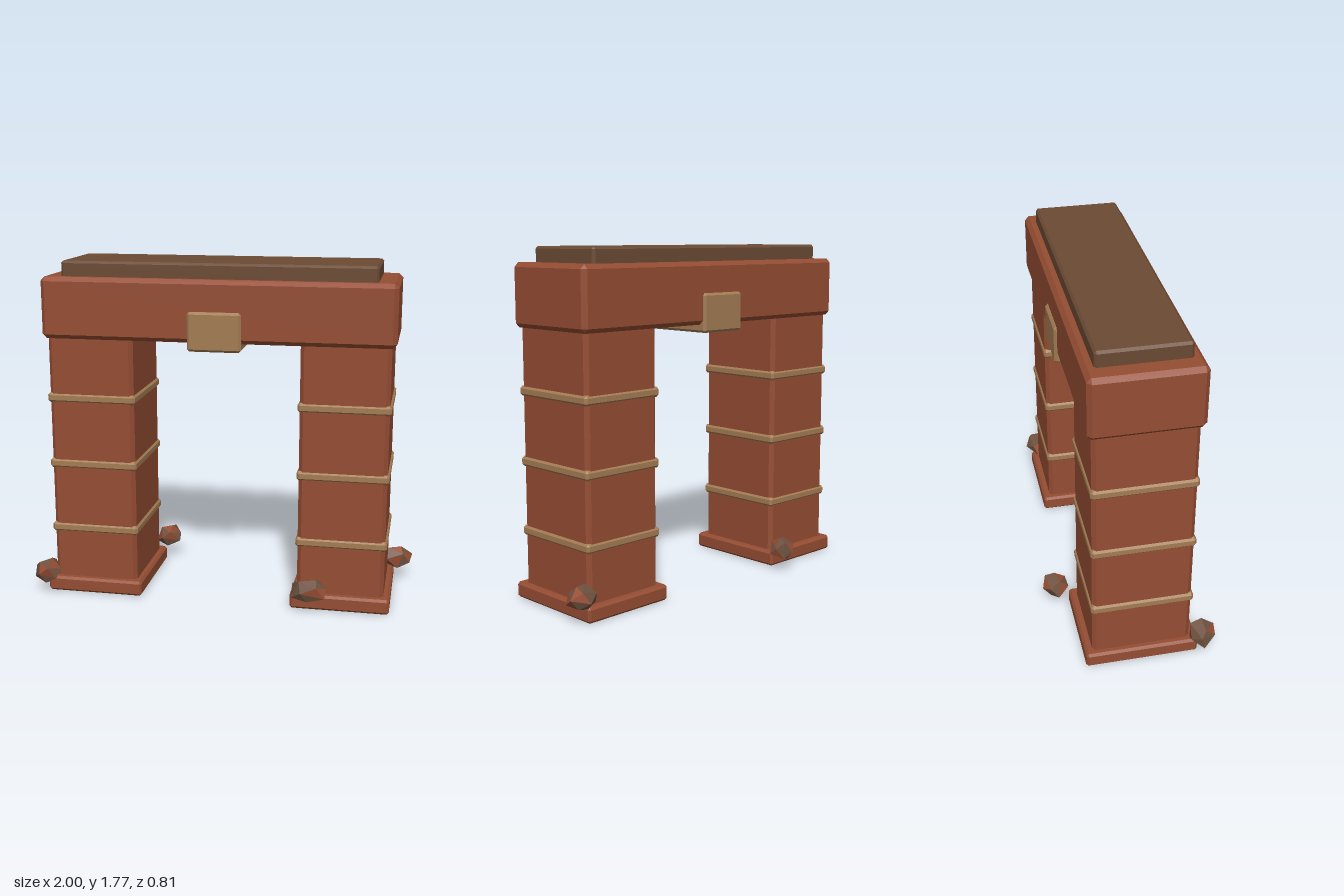
import * as THREE from 'three';
import { ConvexGeometry } from 'three/addons/geometries/ConvexGeometry.js';

const paint = (color) => new THREE.MeshStandardMaterial({ color, flatShading: true });
const brick = paint(0x954d33);
const tan = paint(0xa37c53);
const brown = paint(0x6b4a34);
const stone = paint(0x6e5140);

// Centre of the masonry: the loose rocks push it slightly off the origin
const CX = -0.018;
const CZ = 0.02;

// Box with every edge chamfered by c
function chamferBox(w, h, d, c) {
  const points = [];
  for (const sx of [-1, 1]) for (const sy of [-1, 1]) for (const sz of [-1, 1]) {
    const x = w / 2, y = h / 2, z = d / 2;
    points.push(
      new THREE.Vector3(sx * x, sy * (y - c), sz * (z - c)),
      new THREE.Vector3(sx * (x - c), sy * y, sz * (z - c)),
      new THREE.Vector3(sx * (x - c), sy * (y - c), sz * z),
    );
  }
  return new ConvexGeometry(points);
}

// Block standing from y0 to y1
function block(name, material, x, y0, y1, w, d, c) {
  const mesh = new THREE.Mesh(chamferBox(w, y1 - y0, d, c), material);
  mesh.name = name;
  mesh.position.set(x, (y0 + y1) / 2, CZ);
  return mesh;
}

function seeded(seed) {
  let s = seed;
  return () => (s = (s * 16807) % 2147483647) / 2147483647;
}

// Irregular faceted rock fitted into the given size, with some brick-red facets
function rock(name, seed, center, size) {
  const rand = seeded(seed * 7919);
  const points = [];
  const n = 13;
  for (let i = 0; i < n; i++) {
    const y = 1 - (2 * (i + 0.5)) / n;
    const a = i * 2.39996 + rand() * 0.5;
    const r = Math.sqrt(1 - y * y);
    const k = 0.85 + rand() * 0.3;
    points.push(new THREE.Vector3(Math.cos(a) * r * k, Math.max(y * k, -0.75), Math.sin(a) * r * k));
  }
  const box = new THREE.Box3().setFromPoints(points);
  const mid = box.getCenter(new THREE.Vector3());
  const span = box.getSize(new THREE.Vector3());
  points.forEach((p) => p.sub(mid).divide(span).multiply(new THREE.Vector3(...size)));
  const geometry = new ConvexGeometry(points);
  for (let i = 0; i < geometry.attributes.position.count; i += 3) {
    geometry.addGroup(i, 3, rand() < 0.25 ? 1 : 0);
  }
  const mesh = new THREE.Mesh(geometry, [stone, brick]);
  mesh.name = name;
  mesh.position.set(...center);
  return mesh;
}

export function createModel() {
  const model = new THREE.Group();
  model.name = 'stoneGateway';

  // Pillars with plinths and three bands each
  for (const [side, s] of [['right', -1], ['left', 1]]) {
    const pillar = new THREE.Group();
    pillar.name = `${side}Pillar`;
    const x = CX + s * 0.656;
    pillar.add(block('plinth', brick, x, 0, 0.08, 0.515, 0.58, 0.012));
    pillar.add(block('shaft', brick, x, 0.04, 1.42, 0.45, 0.505, 0.02));
    for (let i = 1; i <= 3; i++) {
      const y = i * 0.355;
      pillar.add(block(`band${i}`, tan, x, y - 0.025, y + 0.025, 0.47, 0.52, 0.012));
    }
    model.add(pillar);
  }

  // Lintel, roof slab and keystone through the middle
  model.add(block('lintel', brick, CX, 1.378, 1.695, 1.81, 0.55, 0.022));
  model.add(block('roofSlab', brown, CX, 1.66, 1.773, 1.61, 0.45, 0.012));
  model.add(block('keystone', tan, CX, 1.337, 1.537, 0.275, 0.58, 0.012));

  // Loose rocks around the feet
  model.add(rock('rockFrontRight', 3, [-0.928, 0.13, 0.332], [0.145, 0.13, 0.125]));
  model.add(rock('rockBackRight', 5, [-0.42, 0.125, -0.342], [0.14, 0.115, 0.135]));
  model.add(rock('rockFrontLeft', 8, [0.485, 0.125, 0.345], [0.18, 0.12, 0.115]));
  model.add(rock('rockBackLeft', 11, [0.91, 0.127, -0.235], [0.17, 0.115, 0.13]));

  return model;
}
